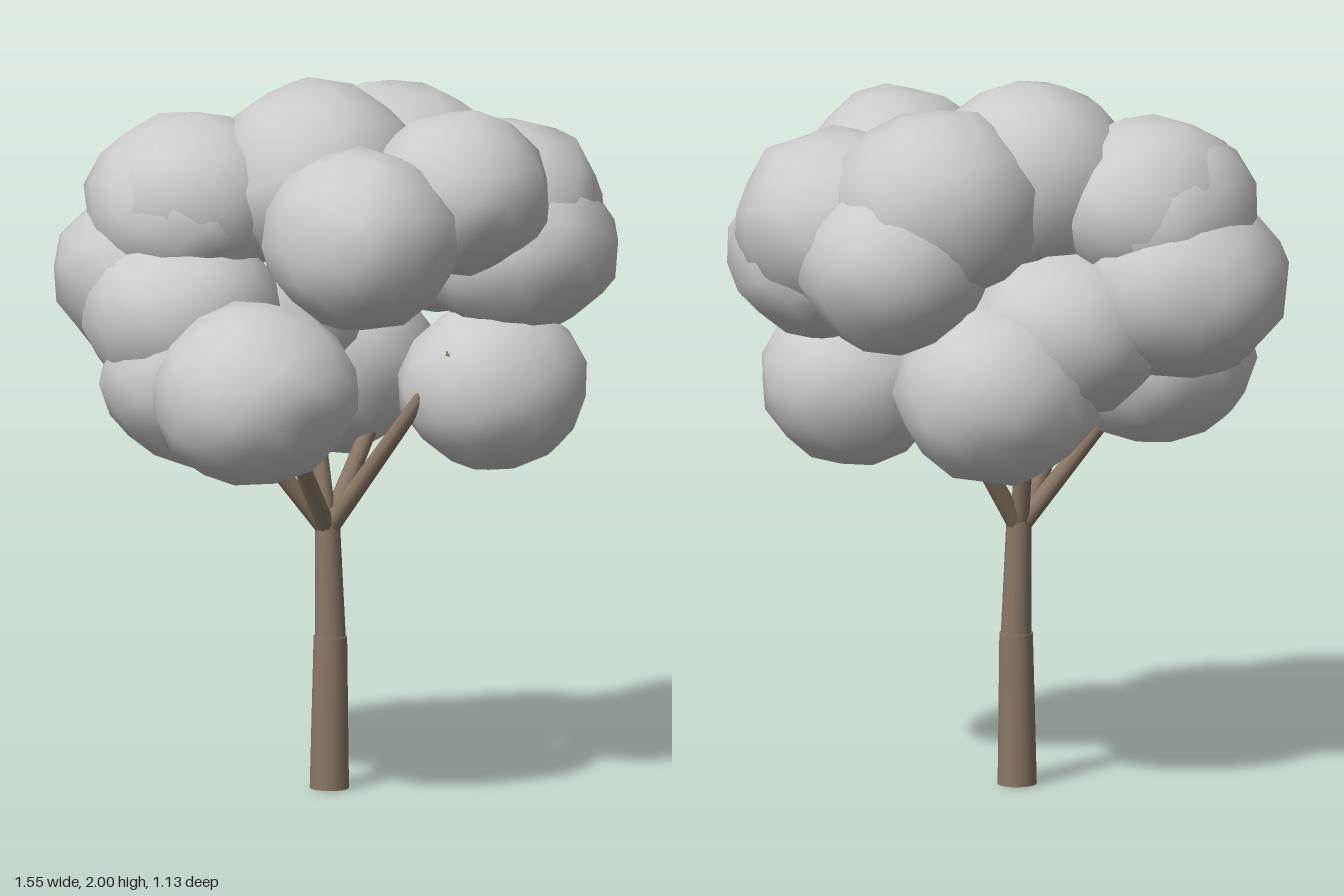
import * as THREE from 'three';
import { mergeVertices } from 'three/addons/utils/BufferGeometryUtils.js';

const bark = new THREE.MeshStandardMaterial({ color: 0x8a7866 });
const leaf = new THREE.MeshStandardMaterial({ color: 0xcccccc });

// Small seeded generator for the bumps on the foliage
function seeded(seed) {
  let s = seed * 7919 + 17;
  return () => {
    s = (s * 16807) % 2147483647;
    return s / 2147483647;
  };
}

// Lumpy low-poly ball with smooth normals
function clumpGeometry(radius, height, seed) {
  const random = seeded(seed);
  let geometry = new THREE.IcosahedronGeometry(1, 2);
  geometry.deleteAttribute('normal');
  geometry.deleteAttribute('uv');
  geometry = mergeVertices(geometry, 1e-4);
  geometry.rotateY(seed * 1.7);
  geometry.rotateX(seed * 0.9);
  const pos = geometry.attributes.position;
  const v = new THREE.Vector3();
  for (let i = 0; i < pos.count; i++) {
    v.fromBufferAttribute(pos, i).multiplyScalar(0.95 + 0.09 * random());
    pos.setXYZ(i, v.x * radius, v.y * height, v.z * radius);
  }
  geometry.computeVertexNormals();
  return geometry;
}

// Tapered round limb between two points
function limb(name, from, to, r0, r1, sides) {
  const a = new THREE.Vector3(...from);
  const b = new THREE.Vector3(...to);
  const dir = b.clone().sub(a);
  const mesh = new THREE.Mesh(new THREE.CylinderGeometry(r1, r0, dir.length(), sides), bark);
  mesh.position.copy(a).add(b).multiplyScalar(0.5);
  mesh.quaternion.setFromUnitVectors(new THREE.Vector3(0, 1, 0), dir.normalize());
  mesh.name = name;
  return mesh;
}

export function createModel() {
  const tree = new THREE.Group();
  tree.name = 'tree';

  // Trunk in two tapering lengths
  const fork = [-0.037, 0.75, -0.05];
  tree.add(limb('lowerTrunk', [-0.033, 0, -0.045], [-0.03, 0.43, -0.045], 0.055, 0.047, 16));
  tree.add(limb('upperTrunk', [-0.03, 0.43, -0.045], fork, 0.043, 0.035, 16));

  // Branches fanning out of the fork into the foliage
  const branches = new THREE.Group();
  branches.name = 'branches';
  const tips = [
    [-0.28, 1.2, 0.2], [-0.38, 1.15, -0.02], [0.25, 1.25, -0.22],
    [0.25, 1.26, 0.21], [-0.06, 1.3, -0.2],
  ];
  for (const tip of tips) {
    const start = [fork[0], fork[1] - 0.02, fork[2]];
    branches.add(limb('branch', start, tip, 0.028, 0.018, 10));
  }
  tree.add(branches);

  // Foliage clumps: x, y, z, radius, half height
  const foliage = new THREE.Group();
  foliage.name = 'foliage';
  const clumps = [
    // lower ring
    [-0.34, 1.19, 0.28, 0.285, 0.255],
    [-0.43, 1.20, 0.0, 0.275, 0.25],
    [0.05, 1.17, -0.285, 0.285, 0.26],
    [0.41, 1.14, 0.08, 0.265, 0.24],
    // middle ring
    [-0.46, 1.36, -0.05, 0.28, 0.245],
    [-0.475, 1.45, -0.23, 0.30, 0.26],
    [-0.15, 1.32, -0.22, 0.28, 0.24],
    [0.48, 1.515, 0.03, 0.29, 0.25],
    [0.34, 1.54, -0.275, 0.265, 0.25],
    // upper ring and crown
    [-0.03, 1.61, 0.27, 0.28, 0.255],
    [-0.39, 1.665, -0.16, 0.285, 0.25],
    [-0.425, 1.64, -0.16, 0.28, 0.25],
    [0.28, 1.71, 0.17, 0.26, 0.235],
    [-0.06, 1.73, -0.065, 0.30, 0.27],
    [0.215, 1.69, -0.215, 0.305, 0.27],
    [0.455, 1.61, -0.045, 0.31, 0.27],
  ];
  clumps.forEach(([x, y, z, radius, height], i) => {
    const clump = new THREE.Mesh(clumpGeometry(radius, height, i + 1), leaf);
    clump.position.set(x, y, z);
    clump.name = 'leafClump';
    foliage.add(clump);
  });
  tree.add(foliage);

  return tree;
}
